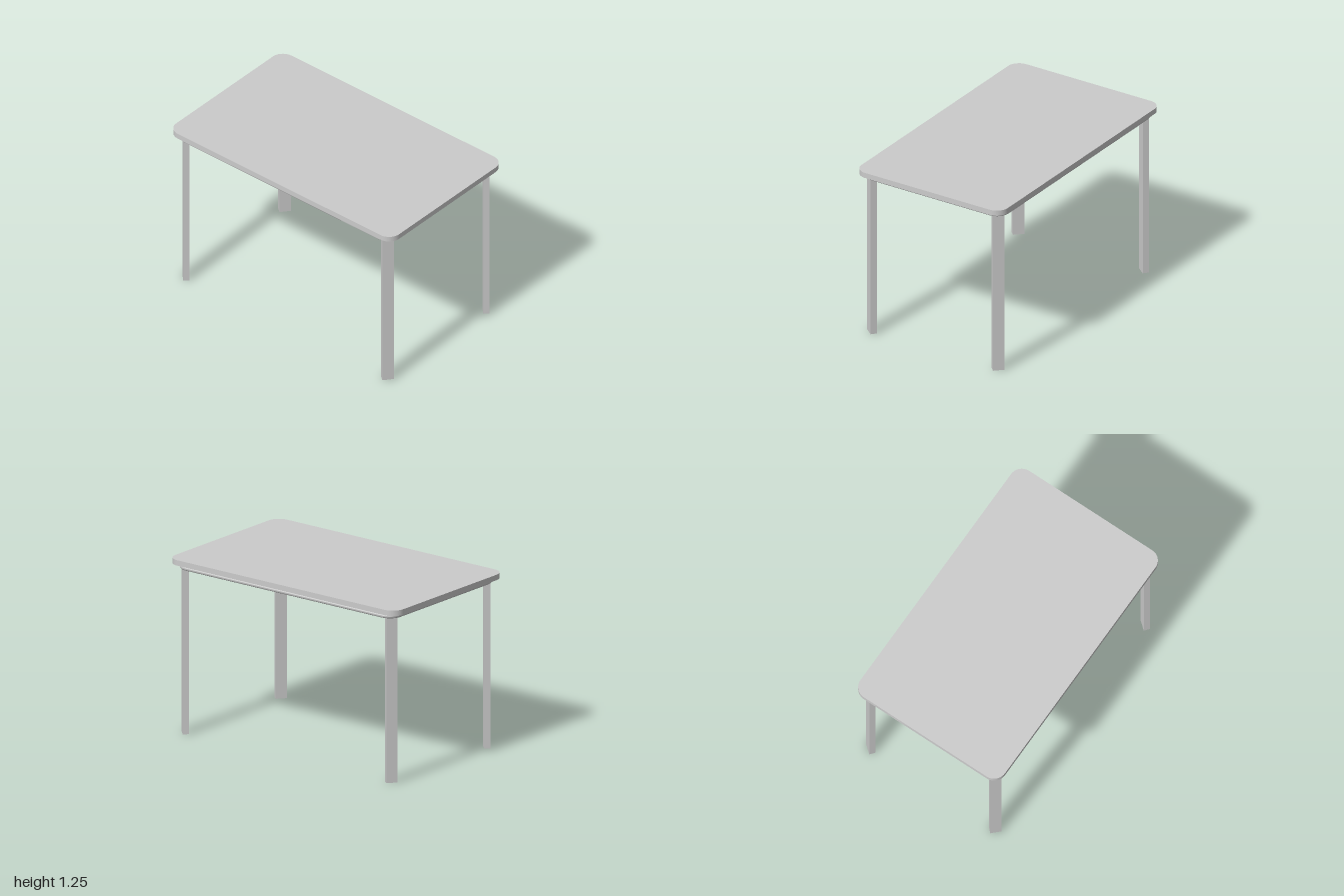
import * as THREE from 'three';
import { toCreasedNormals } from 'three/addons/utils/BufferGeometryUtils.js';
import { ParametricGeometry } from 'three/addons/geometries/ParametricGeometry.js';

const grey = new THREE.MeshStandardMaterial({ color: 0xcccccc });
const TOP_Y = 1.254, UNDER_Y = 1.215;

function part(name, geometry) {
  const mesh = new THREE.Mesh(geometry, grey);
  mesh.name = name;
  return mesh;
}

// Rectangle with rounded corners, given half sizes
function roundedRect(hx, hy, r) {
  const s = new THREE.Shape();
  s.absarc(hx - r, hy - r, r, 0, Math.PI / 2);
  s.absarc(r - hx, hy - r, r, Math.PI / 2, Math.PI);
  s.absarc(r - hx, r - hy, r, Math.PI, Math.PI * 1.5);
  s.absarc(hx - r, r - hy, r, Math.PI * 1.5, Math.PI * 2);
  s.closePath();
  return s;
}

// Closed tube following a rounded rectangle (half sizes of the centre line)
function tubeFrame(hx, hz, r, tube, y) {
  const steps = 10, count = 4 * (steps + 1);
  const geometry = new ParametricGeometry((u, v, target) => {
    const i = Math.round(u * count) % count;
    const corner = Math.floor(i / (steps + 1));
    const a = (corner + (i % (steps + 1)) / steps) * Math.PI / 2;
    const t = -v * Math.PI * 2;
    const reach = r + tube * Math.cos(t);
    const sx = corner === 0 || corner === 3 ? 1 : -1;
    const sz = corner < 2 ? 1 : -1;
    target.set(
      sx * (hx - r) + reach * Math.cos(a),
      y + tube * Math.sin(t),
      sz * (hz - r) + reach * Math.sin(a)
    );
  }, count, 16);
  return toCreasedNormals(geometry, Math.PI / 4);
}

export function createModel() {
  const table = new THREE.Group();
  table.name = 'table';

  // Tabletop slab
  const slab = new THREE.ExtrudeGeometry(roundedRect(1, 0.6, 0.09), {
    depth: TOP_Y - UNDER_Y, bevelEnabled: false, curveSegments: 12,
  });
  slab.rotateX(-Math.PI / 2).translate(0, UNDER_Y, 0);
  table.add(part('tabletop', toCreasedNormals(slab, Math.PI / 5)));

  // Tubular frame under the top
  table.add(part('underFrame', tubeFrame(0.944, 0.563, 0.085, 0.0165, 1.197)));

  // Flat legs set diagonally across the corners
  const legs = [
    ['frontLeftLeg', 0.903, 0.519, 51.5],
    ['frontRightLeg', -0.907, 0.518, -45],
    ['backRightLeg', -0.903, -0.519, 51.5],
    ['backLeftLeg', 0.907, -0.518, -45],
  ];
  for (const [name, x, z, turn] of legs) {
    const leg = part(name, new THREE.BoxGeometry(0.08, UNDER_Y, 0.044));
    leg.position.set(x, UNDER_Y / 2, z);
    leg.rotation.y = THREE.MathUtils.degToRad(turn);
    table.add(leg);
  }
  return table;
}
